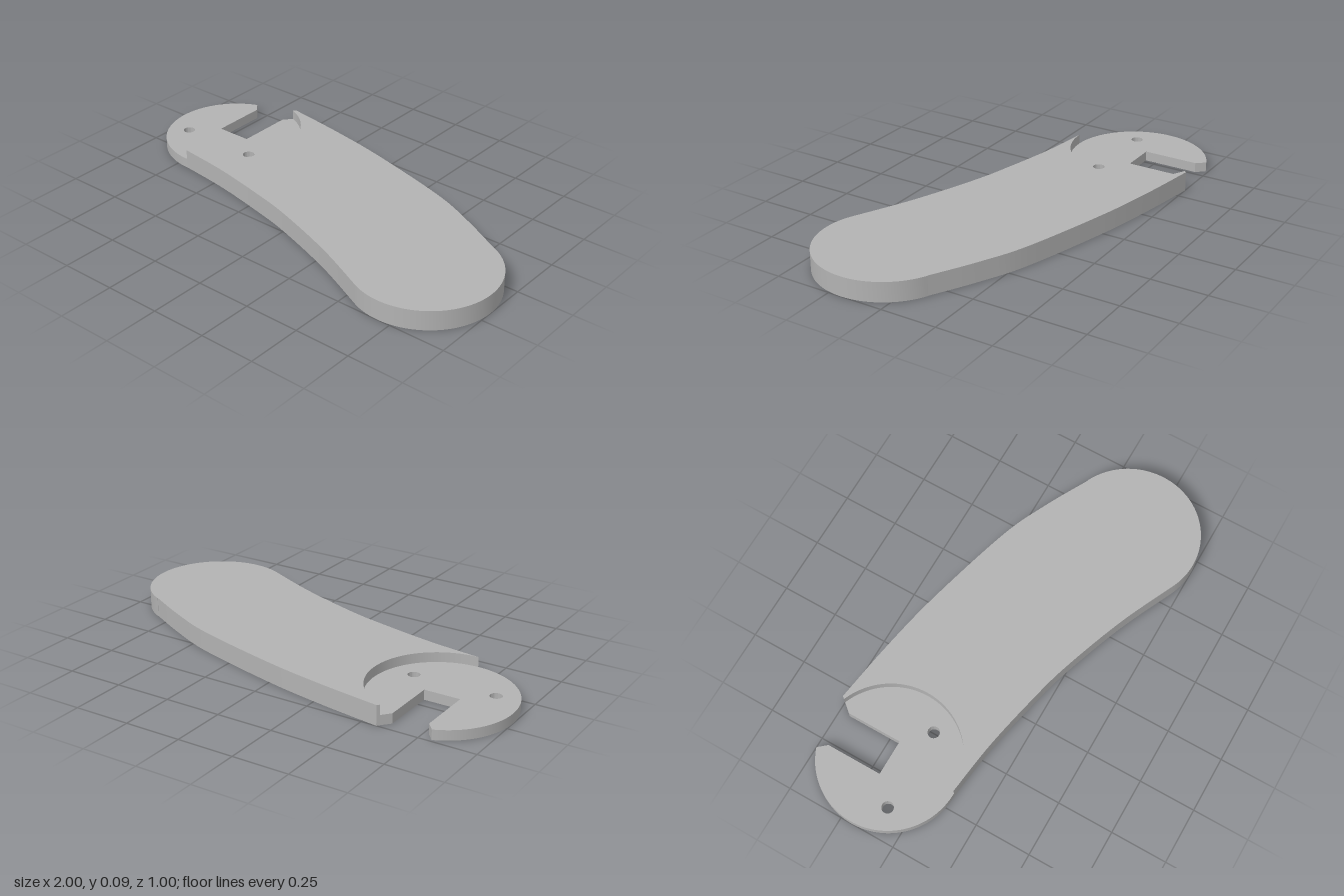
import * as THREE from 'three';
import { toCreasedNormals } from 'three/addons/utils/BufferGeometryUtils.js';

const PIVOT = [-0.69, 0.2], TIP = [0.69, -0.19], R = 0.31;
const BODY_HEIGHT = 0.088, PAD_HEIGHT = 0.044;

// Outlines are drawn in plan (x, -z) and raised along y.
function slab(name, shape, height, material) {
  const flat = new THREE.ExtrudeGeometry(shape, { depth: height, bevelEnabled: false, curveSegments: 40 });
  flat.rotateX(-Math.PI / 2);
  const mesh = new THREE.Mesh(toCreasedNormals(flat, 0.45), material);
  mesh.name = name;
  return mesh;
}

const points = (list) => list.map(([x, y]) => new THREE.Vector2(x, y));

export function createModel() {
  const group = new THREE.Group();
  group.name = 'handleScale';
  const grey = new THREE.MeshStandardMaterial({ color: 0xb2b2b2 });
  grey.name = 'grey';

  // Angles on the pivot circle where the slot opens and where the body begins
  const slotRight = Math.atan2(0.289, 0.113);
  const slotLeft = Math.PI - slotRight;
  const bottom = -Math.PI / 2;

  // Curved handle with a rounded tip and a concave end around the pivot pad
  const body = new THREE.Shape();
  body.moveTo(-0.568, 0.5);
  body.splineThru(points([[-0.29, 0.457], [0, 0.398], [0.406, 0.286], [0.62, 0.195], [0.82, 0.09]]));
  body.absarc(...TIP, R, Math.atan2(0.28, 0.13), Math.atan2(-0.286, -0.123), true);
  body.splineThru(points([[0.3, -0.353], [0, -0.246], [-0.2, -0.194], [-0.45, -0.142], [-0.69, -0.11]]));
  body.absarc(...PIVOT, R, bottom, slotRight, false);
  body.closePath();
  group.add(slab('handleBody', body, BODY_HEIGHT, grey));

  // Thin round pad with a chamfered slot
  const pad = new THREE.Shape();
  pad.absarc(...PIVOT, R, bottom, slotRight, false);
  for (const [x, y] of [[-0.61, 0.45], [-0.61, 0.2], [-0.77, 0.2], [-0.77, 0.45]]) pad.lineTo(x, y);
  pad.absarc(...PIVOT, R, slotLeft, Math.PI * 1.5, false);

  // Two pin holes
  for (const side of [-1, 1]) {
    const hole = new THREE.Path();
    hole.absarc(PIVOT[0] + side * 0.185, 0.097, 0.026, 0, Math.PI * 2, true);
    pad.holes.push(hole);
  }
  group.add(slab('pivotPad', pad, PAD_HEIGHT, grey));

  return group;
}
